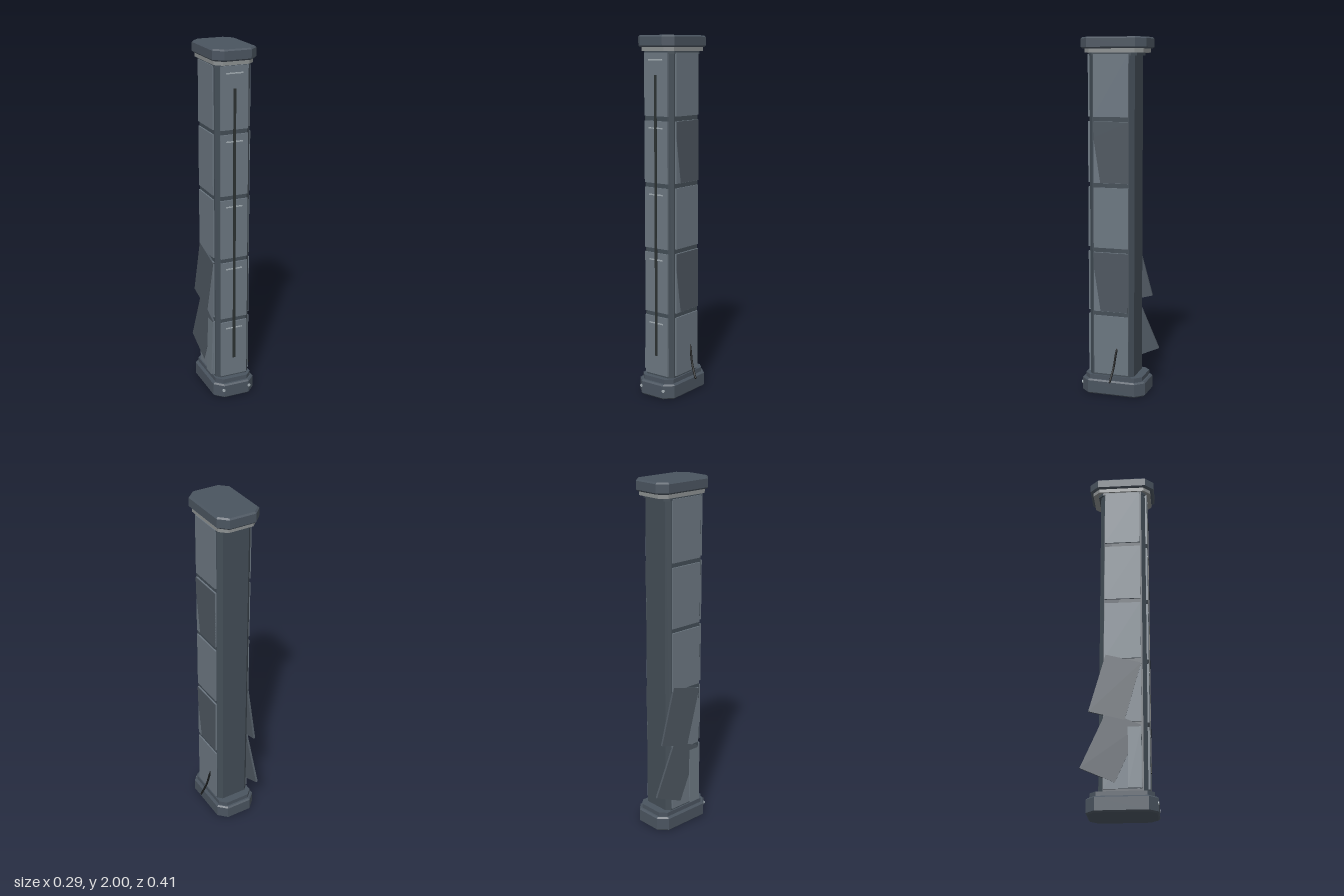
import * as THREE from 'three';

const mat = (name, color) => {
  const m = new THREE.MeshStandardMaterial({ color });
  m.name = name;
  return m;
};

export function createModel() {
  const group = new THREE.Group();
  group.name = 'pillar';
  const capMat = mat('cap slate', 0x4a545f);
  const coreMat = mat('core slate', 0x434d56);
  const panelMat = mat('panel grey', 0x6b7680);
  const darkMat = mat('loose panel slate', 0x4d565f);
  const collarMat = mat('collar metal', 0x8b8f90);
  const markMat = mat('pale mark', 0xa3adb3);
  const blackMat = mat('black rubber', 0x17191a);
  const seamMat = mat('dark seam', 0x2b3131);

  const CX = -0.0215; // axis of the column in x
  const add = (name, geo, material, x, y, z) => {
    const m = new THREE.Mesh(geo, material);
    m.name = name;
    m.position.set(x, y, z);
    group.add(m);
    return m;
  };
  const box = (name, w, h, d, material, x, y, z) =>
    add(name, new THREE.BoxGeometry(w, h, d), material, x, y, z);

  // Upright prism with chamfered corners, optional bevelled rims
  const prism = (name, w, d, c, y0, y1, material, z, bevel = 0) => {
    const a = w / 2 - bevel, b = d / 2 - bevel;
    const shape = new THREE.Shape([
      [-a + c, -b], [a - c, -b], [a, -b + c], [a, b - c],
      [a - c, b], [-a + c, b], [-a, b - c], [-a, -b + c],
    ].map(([x, y]) => new THREE.Vector2(x, y)));
    const geo = new THREE.ExtrudeGeometry(shape, {
      depth: y1 - y0 - 2 * bevel, bevelEnabled: bevel > 0,
      bevelSize: bevel, bevelThickness: bevel, bevelSegments: 1,
    });
    geo.rotateX(-Math.PI / 2);
    return add(name, geo, material, CX, y0 + bevel, z);
  };

  // Base, column and top
  prism('baseCap', 0.247, 0.373, 0.043, 0, 0.085, capMat, 0.0175, 0.008);
  prism('baseCollar', 0.215, 0.335, 0.035, 0.08, 0.11, capMat, 0.0165);
  prism('core', 0.2, 0.26, 0.024, 0.1, 1.92, coreMat, 0.025);
  prism('topTrim', 0.206, 0.275, 0.026, 1.9, 1.918, coreMat, 0.02);
  prism('topCollar', 0.222, 0.335, 0.038, 1.916, 1.942, collarMat, 0.0165);
  prism('topCap', 0.247, 0.373, 0.043, 1.938, 2, capMat, 0.0175, 0.008);

  // Five tiers of cladding on the front and both sides
  const H = 0.337, PITCH = 0.3625;
  for (let i = 0; i < 5; i++) {
    const y = 0.29 + i * PITCH;
    box('frontPanel', 0.157, H, 0.014, panelMat, CX, y, 0.156);
    box('frontMark', 0.095, 0.007, 0.003, markMat, CX, y + 0.13, 0.164);
    for (const s of [-1, 1])
      box('sidePanel', 0.011, H, 0.2, panelMat, CX + s * 0.1025, y, 0.022);
  }

  // Dark skins on two left panels, cut along a slant at the front
  for (const y of [0.29 + PITCH, 0.29 + 3 * PITCH]) {
    const skin = new THREE.Shape([
      [-0.115, -0.167], [-0.082, -0.167], [0.078, -0.167], [0.078, 0.167],
      [-0.122, 0.167], [-0.121, 0.08], [-0.085, -0.15],
    ].slice(1).map(([x, yy]) => new THREE.Vector2(x, yy)));
    const geo = new THREE.ExtrudeGeometry(skin, { depth: 0.003, bevelEnabled: false });
    geo.rotateY(Math.PI / 2);
    add('darkSkin', geo, darkMat, 0.0855, y, 0);
  }

  // Loose panels swung backward on the right side
  for (const [y, z, angle] of [[0.348, -0.04, 24], [0.68, -0.018, 15.5]]) {
    const p = box('loosePanel', 0.012, H, 0.2, darkMat, -0.126, y, z);
    p.rotation.x = THREE.MathUtils.degToRad(angle);
  }
  // Lowest right panel leaning outward at its foot
  const lean = box('leaningPanel', 0.008, 0.33, 0.07, panelMat, -0.134, 0.288, 0.085);
  lean.rotation.z = -0.035;

  // Long front slot and base bolts
  box('frontSlot', 0.015, 1.56, 0.004, seamMat, CX, 1.01, 0.165);
  for (const x of [-0.1, 0.057]) {
    const bolt = new THREE.CylinderGeometry(0.009, 0.009, 0.006, 10);
    bolt.rotateX(Math.PI / 2);
    add('baseBolt', bolt, markMat, x, 0.05, 0.203);
  }

  // Hanging cable
  const path = new THREE.CatmullRomCurve3([
    [0.078, 0.285, -0.014], [0.09, 0.24, -0.008], [0.107, 0.165, 0], [0.138, 0.092, 0.012],
  ].map((p) => new THREE.Vector3(...p)));
  add('cable', new THREE.TubeGeometry(path, 16, 0.006, 8), blackMat, 0, 0, 0);
  for (const t of [0, 1]) {
    const e = path.getPoint(t);
    add('cableEnd', new THREE.SphereGeometry(0.006, 8, 6), blackMat, e.x, e.y, e.z);
  }
  return group;
}
